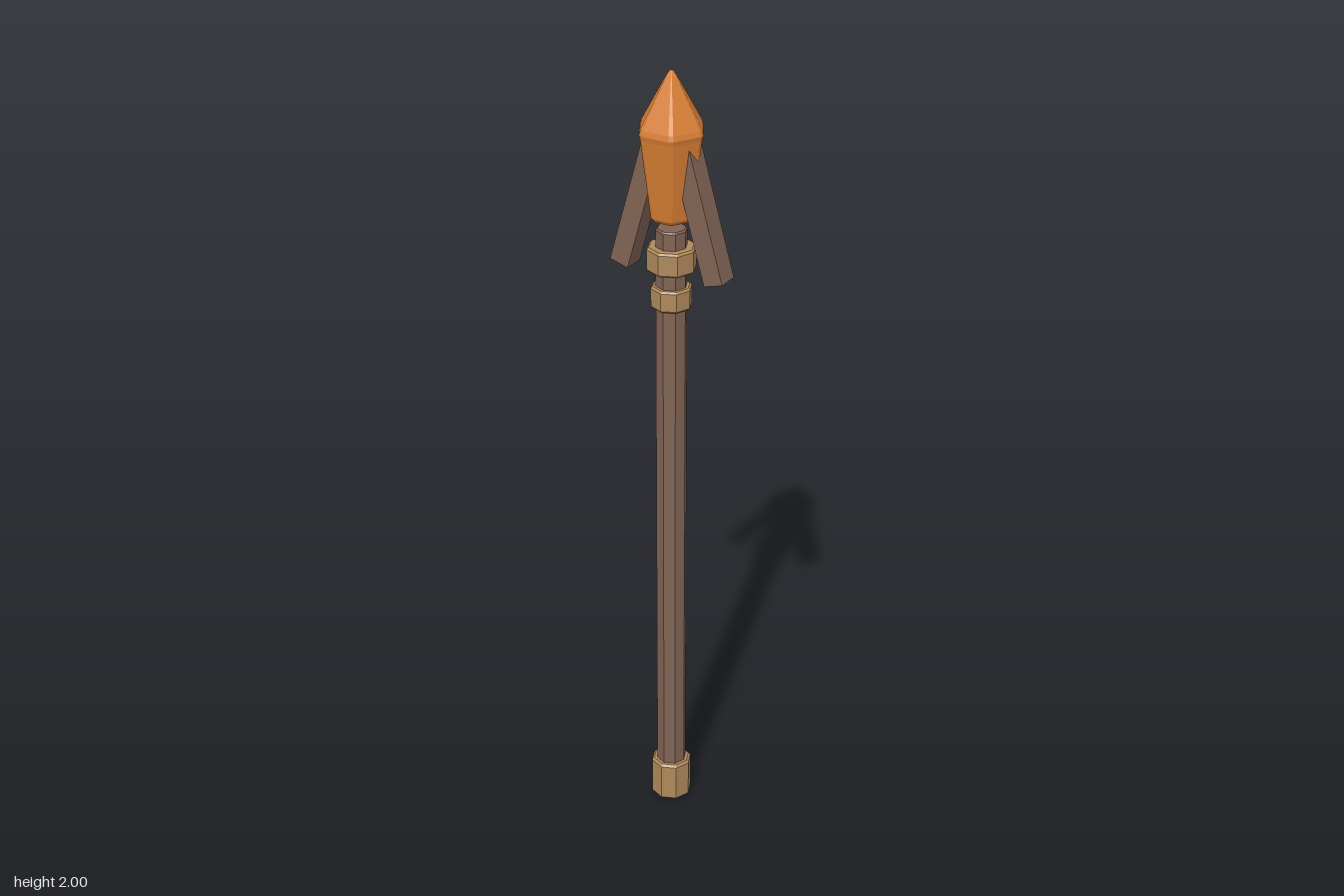
import * as THREE from 'three';

const wood = new THREE.MeshStandardMaterial({ color: 0x7f6353 });
wood.name = 'brown wood';
const brass = new THREE.MeshStandardMaterial({ color: 0xae8959 });
brass.name = 'dull brass';
const copper = new THREE.MeshStandardMaterial({ color: 0xd67e32 });
copper.name = 'orange copper';

// Faceted normals, one per face
function faceted(geometry) {
  const flat = geometry.toNonIndexed();
  flat.computeVertexNormals();
  return flat;
}

function addPart(parent, name, geometry, material) {
  const mesh = new THREE.Mesh(faceted(geometry), material);
  mesh.name = name;
  parent.add(mesh);
  return mesh;
}

// Closed eight-sided ring or rod with chamfered rims
function octagonRod(radius, bottom, top, bevel) {
  const profile = [
    [0, bottom], [radius - bevel, bottom], [radius, bottom + bevel],
    [radius, top - bevel], [radius - bevel, top], [0, top],
  ].map(([r, y]) => new THREE.Vector2(r, y));
  return new THREE.LatheGeometry(profile, 8);
}

// Six-sided head whose upright edges are narrow chamfers, with corners on the x axis
function headGeometry() {
  const profile = [
    [0, 1.636], [0.044, 1.642], [0.052, 1.652], [0.078, 1.847],
    [0.081, 1.858], [0.077, 1.871], [0.012, 1.988], [0.006, 1.997], [0, 2],
  ].map(([r, y]) => new THREE.Vector2(r, y));
  const geometry = new THREE.LatheGeometry(profile, 12);
  const pos = geometry.attributes.position;
  for (let i = 0; i < pos.count; i++) {
    const r = Math.hypot(pos.getX(i), pos.getZ(i));
    const step = Math.floor(i / profile.length) % 12;
    const degrees = 30 + 60 * Math.floor(step / 2) + (step % 2 ? 4 : -4);
    const angle = THREE.MathUtils.degToRad(degrees);
    pos.setX(i, r * Math.sin(angle));
    pos.setZ(i, r * Math.cos(angle));
  }
  return geometry;
}

export function createModel() {
  const model = new THREE.Group();
  model.name = 'spear';

  // Shaft and its metal fittings
  addPart(model, 'shaft', octagonRod(0.038, 0.02, 1.62, 0.004), wood);
  addPart(model, 'buttCap', octagonRod(0.052, 0, 0.11, 0.006), brass);
  addPart(model, 'lowerCollar', octagonRod(0.05, 1.42, 1.475, 0.005), brass);
  addPart(model, 'upperCollar', octagonRod(0.06, 1.515, 1.575, 0.005), brass);

  // Pointed head
  addPart(model, 'head', headGeometry(), copper);

  // Slanted barbs, rooted inside the head
  const length = 0.34;
  for (const side of [-1, 1]) {
    const barb = new THREE.BoxGeometry(0.05, length, 0.055);
    barb.translate(0, length / 2, 0);
    const mesh = addPart(model, side > 0 ? 'leftBarb' : 'rightBarb', barb, wood);
    mesh.position.set(side * 0.128, 1.511, 0);
    mesh.rotation.z = side * THREE.MathUtils.degToRad(16);
  }

  return model;
}
